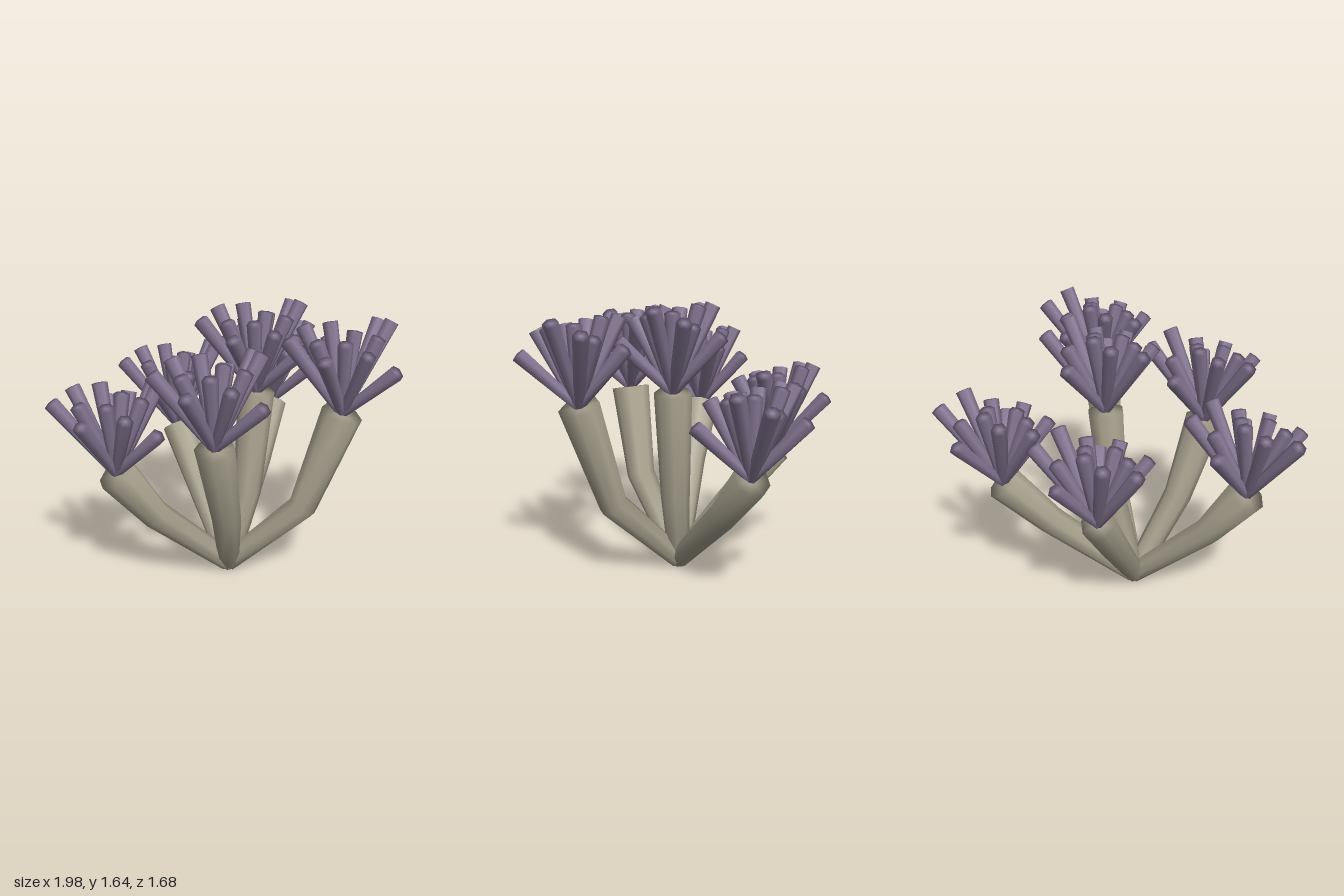
import * as THREE from 'three';
import { mergeVertices } from 'three/addons/utils/BufferGeometryUtils.js';

const UP = new THREE.Vector3(0, 1, 0);
const stalkMaterial = new THREE.MeshStandardMaterial({ color: 0xaaa490 });
const tentacleMaterial = new THREE.MeshStandardMaterial({ color: 0x887a97 });

// Each stalk: bend point, top centre, top radius
const STALKS = [
  { bend: [0.02, 0.44, -0.305], top: [0.03, 0.76, -0.55], radius: 0.095 },
  { bend: [0.43, 0.51, -0.25], top: [0.645, 0.81, -0.39], radius: 0.105 },
  { bend: [0.13, 0.5, 0.015], top: [0.18, 1.13, 0.025], radius: 0.105 },
  { bend: [0.26, 0.5, 0.36], top: [0.38, 1.105, 0.515], radius: 0.115 },
  { bend: [-0.2, 0.51, 0.235], top: [-0.33, 1.02, 0.3], radius: 0.11 },
  { bend: [-0.47, 0.51, -0.07], top: [-0.68, 0.82, -0.12], radius: 0.112 },
];

// Heights of the tentacle tips, from the middle of a spray outward
const TIP_HEIGHTS = [0.45, 0.43, 0.48, 0.44, 0.43, 0.4, 0.4, 0.465, 0.495, 0.38, 0.34, 0.3, 0.43, 0.45];

// Weld a closed geometry so that its shading rolls softly over the ends
function softened(geometry) {
  geometry.deleteAttribute('normal');
  geometry.deleteAttribute('uv');
  const welded = mergeVertices(geometry);
  welded.computeVertexNormals();
  return welded;
}

// Tapered, bent stalk: a three-ring cylinder with its rings moved along a path
function stalkGeometry({ bend, top, radius }) {
  const path = [new THREE.Vector3(0, 0.046, 0), new THREE.Vector3(...bend), new THREE.Vector3(...top)];
  const radii = [0.063, 0.083, radius];
  const lower = path[1].clone().sub(path[0]).normalize();
  const upper = path[2].clone().sub(path[1]).normalize();
  const directions = [lower, lower.clone().add(upper).normalize(), upper];
  const turns = directions.map((d) => new THREE.Quaternion().setFromUnitVectors(UP, d));

  const geometry = new THREE.CylinderGeometry(1, 1, 2, 8, 2);
  const position = geometry.attributes.position;
  const v = new THREE.Vector3();
  for (let i = 0; i < position.count; i++) {
    v.fromBufferAttribute(position, i);
    const ring = Math.round(v.y) + 1;
    v.setY(0).multiplyScalar(radii[ring]).applyQuaternion(turns[ring]).add(path[ring]);
    position.setXYZ(i, v.x, v.y, v.z);
  }
  return softened(geometry);
}

// Spray of tapered tentacles fanning out from one point, spaced like sunflower seeds
function tentacleCluster() {
  const cluster = new THREE.Group();
  cluster.name = 'tentacleCluster';
  TIP_HEIGHTS.forEach((height, i) => {
    const angle = i * 2.4;
    const out = 0.33 * Math.sqrt((i + 0.5) / TIP_HEIGHTS.length);
    const tip = new THREE.Vector3(Math.cos(angle) * out, height, Math.sin(angle) * out);
    const length = tip.length();
    const geometry = new THREE.CylinderGeometry(0.043, 0.027, length, 6);
    geometry.translate(0, length / 2, 0);
    const tentacle = new THREE.Mesh(softened(geometry), tentacleMaterial);
    tentacle.name = 'tentacle';
    tentacle.quaternion.setFromUnitVectors(UP, tip.normalize());
    cluster.add(tentacle);
  });
  return cluster;
}

export function createModel() {
  const model = new THREE.Group();
  model.name = 'coral';
  for (const spec of STALKS) {
    const polyp = new THREE.Group();
    polyp.name = 'polyp';
    const stalk = new THREE.Mesh(stalkGeometry(spec), stalkMaterial);
    stalk.name = 'stalk';
    const cluster = tentacleCluster();
    cluster.position.set(...spec.top);
    polyp.add(stalk, cluster);
    model.add(polyp);
  }
  return model;
}
